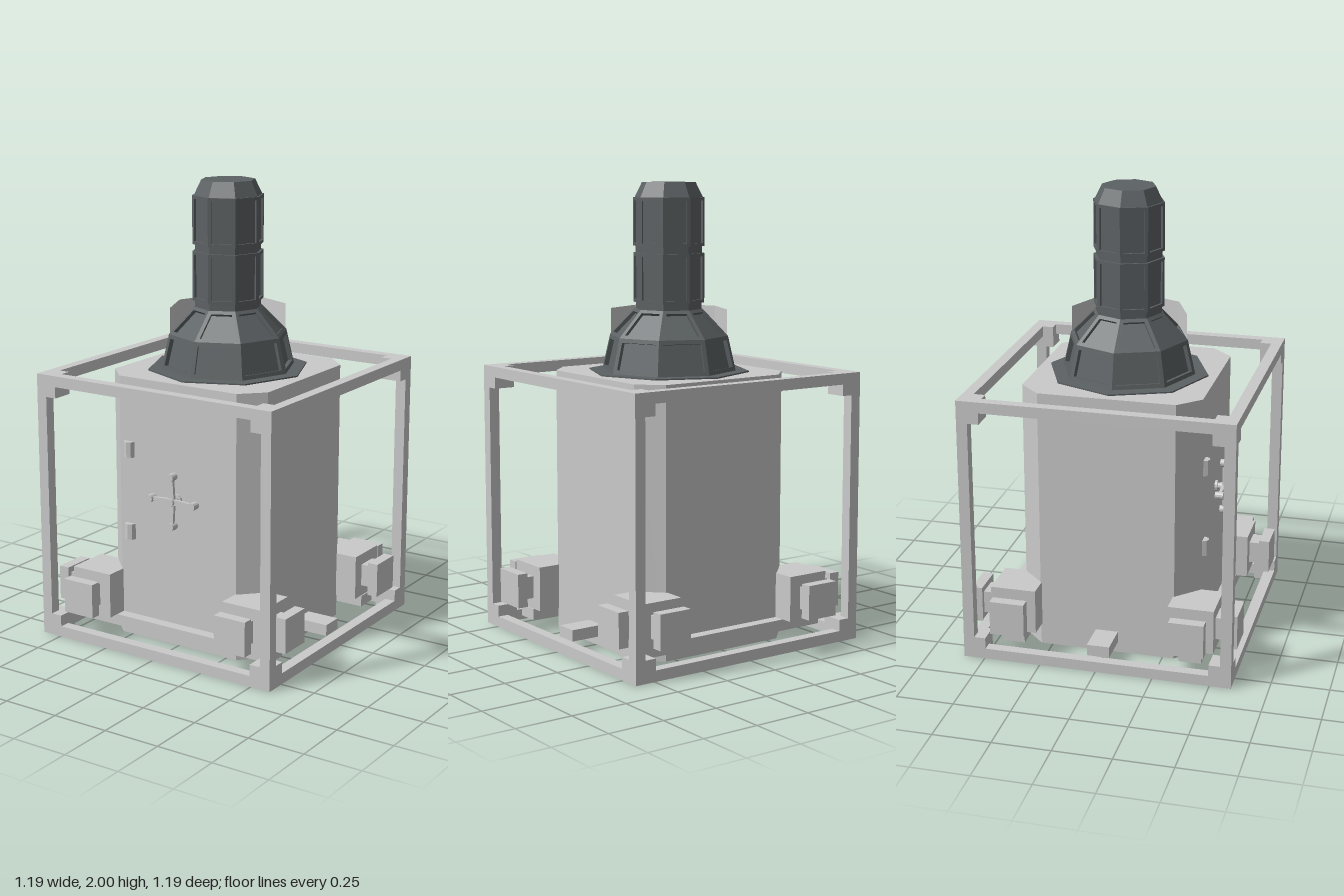
import * as THREE from 'three';

export function createModel() {
  const model = new THREE.Group();
  const lightGrey = new THREE.MeshStandardMaterial({ color: 0xcacaca, flatShading: true });
  lightGrey.name = 'light grey metal';
  const darkGrey = new THREE.MeshStandardMaterial({ color: 0x5c6163, flatShading: true });
  darkGrey.name = 'dark grey metal';

  const add = (name, geometry, material, parent = model) => {
    const mesh = new THREE.Mesh(geometry, material);
    mesh.name = name;
    parent.add(mesh);
    return mesh;
  };
  const group = (name) => {
    const g = new THREE.Group();
    g.name = name;
    model.add(g);
    return g;
  };
  const box = (name, w, h, d, x, y, z, parent) =>
    add(name, new THREE.BoxGeometry(w, h, d).translate(x, y, z), lightGrey, parent);
  const points = (list) => list.map(([x, y]) => new THREE.Vector2(x, y));
  // Eight-sided frustum with its corners on the x and z axes
  const octagon = (y0, r0, y1, r1) =>
    new THREE.CylinderGeometry(r1, r0, y1 - y0, 8).translate(0, (y0 + y1) / 2, 0);
  const signs = [-1, 1];

  // Cubic cage with a small block in each corner
  const cage = group('cage');
  const H = 1.187, T = 0.048, M = 0.569, inner = 0.993;
  for (const a of signs) {
    for (const b of signs) {
      const railY = b < 0 ? T / 2 : H - T / 2;
      box('upright', T, inner, T, a * M, H / 2, b * M, cage);
      box('crossRail', inner, T, T, 0, railY, a * M, cage);
      box('sideRail', T, T, inner, a * M, railY, 0, cage);
      for (const y of [0.049, H - 0.049]) {
        box('cornerGusset', 0.098, 0.098, 0.098, a * 0.544, y, b * 0.544, cage);
      }
    }
  }

  // Cabin with chamfered upright corners
  const A = 0.395, C = 0.3;
  const outline = new THREE.Shape(points(
    [[A, -C], [A, C], [C, A], [-C, A], [-A, C], [-A, -C], [-C, -A], [C, -A]]));
  const cabin = new THREE.ExtrudeGeometry(outline, { depth: 1.175, bevelEnabled: false });
  add('cabin', cabin.rotateX(-Math.PI / 2).translate(0, 0.002, 0), lightGrey);

  // Supports beside the cabin
  box('middleSupport', 1.09, 0.05, 0.1, 0, 0.075, 0);
  for (const s of signs) box('sill', 1, 0.05, 0.1, 0, 0.075, s * 0.395);

  // Corner blocks, each with two stems and square pads
  for (const sx of signs) {
    for (const sz of signs) {
      const corner = group('cornerBlock');
      box('block', 0.2, 0.2, 0.2, sx * 0.395, 0.2, sz * 0.395, corner);
      box('frontStem', 0.1, 0.1, 0.06, sx * 0.4, 0.2, sz * 0.52, corner);
      box('frontPad', 0.153, 0.153, 0.048, sx * 0.395, 0.2, sz * M, corner);
      box('sideStem', 0.06, 0.1, 0.1, sx * 0.52, 0.2, sz * 0.4, corner);
      box('sidePad', 0.048, 0.153, 0.153, sx * M, 0.2, sz * 0.395, corner);
    }
  }

  // Door hinges
  for (const y of [0.485, 0.857]) {
    add('hinge', new THREE.CylinderGeometry(0.026, 0.026, 0.07, 8).translate(-0.25, y, 0.395), lightGrey);
  }

  // Four-armed door handle
  const handle = group('doorHandle');
  handle.position.set(0, 0.67, 0);
  const knob = (name, r, depth, x, y, z) =>
    add(name, new THREE.CylinderGeometry(r, r, depth, 12).rotateX(Math.PI / 2).translate(x, y, z), lightGrey, handle);
  knob('collar', 0.025, 0.012, 0, 0, 0.4);
  knob('spindle', 0.014, 0.046, 0, 0, 0.415);
  knob('hub', 0.017, 0.036, 0, 0, 0.435);
  const armShape = new THREE.Shape(points([[-0.014, 0], [0.014, 0], [0.007, 0.11], [-0.007, 0.11]]));
  for (let i = 0; i < 4; i++) {
    const a = i * Math.PI / 2;
    add('arm', new THREE.ExtrudeGeometry(armShape, { depth: 0.014, bevelEnabled: false })
      .rotateZ(a).translate(0, 0, 0.428), lightGrey, handle);
    knob('knob', 0.017, 0.036, Math.cos(a) * 0.11, Math.sin(a) * 0.11, 0.435);
  }

  // Tower: each facet is a frame around a recessed panel
  const tower = group('tower');
  add('baseFlange', octagon(1.165, 0.355, 1.183, 0.355), darkGrey, tower);
  const framedSection = (name, y0, r0, y1, r1, recess, border) => {
    add(name + 'Panels', octagon(y0, r0 - recess, y1, r1 - recess), darkGrey, tower);
    const half = Math.PI / 8;
    const [a0, a1] = [r0 * Math.cos(half), r1 * Math.cos(half)];
    const [w0, w1] = [r0 * Math.sin(half), r1 * Math.sin(half)];
    const length = Math.hypot(y1 - y0, a1 - a0);
    const width = (y) => w0 + (w1 - w0) * y / length - border;
    const shape = new THREE.Shape(points([[-w0, 0], [w0, 0], [w1, length], [-w1, length]]));
    const [low, high] = [border, length - border];
    shape.holes.push(new THREE.Path(points(
      [[-width(low), low], [-width(high), high], [width(high), high], [width(low), low]])));
    for (let i = 0; i < 8; i++) {
      const frame = new THREE.ExtrudeGeometry(shape, { depth: recess, bevelEnabled: false })
        .translate(0, 0, -recess).rotateX(Math.atan2(a1 - a0, y1 - y0))
        .translate(0, y0, a0).rotateY((i + 0.5) * Math.PI / 4);
      add(name + 'Frame', frame, darkGrey, tower);
    }
  };
  framedSection('lowerCone', 1.183, 0.297, 1.335, 0.262, 0.022, 0.018);
  framedSection('upperCone', 1.335, 0.262, 1.452, 0.15, 0.022, 0.017);
  add('columnCore', octagon(1.44, 0.146, 1.94, 0.146), darkGrey, tower);
  framedSection('lowerColumn', 1.48, 0.157, 1.695, 0.157, 0.014, 0.014);
  framedSection('upperColumn', 1.725, 0.157, 1.935, 0.157, 0.014, 0.014);
  add('cap', octagon(1.935, 0.15, 2, 0.118), darkGrey, tower);

  // Thin collar around the upper cone, its faces turned inward
  const collar = new THREE.CylinderGeometry(0.257, 0.257, 0.11, 8, 1, true).scale(-1, 1, 1);
  collar.computeVertexNormals();
  add('innerCollar', collar.translate(0, 1.395, 0), lightGrey, tower);

  return model;
}
